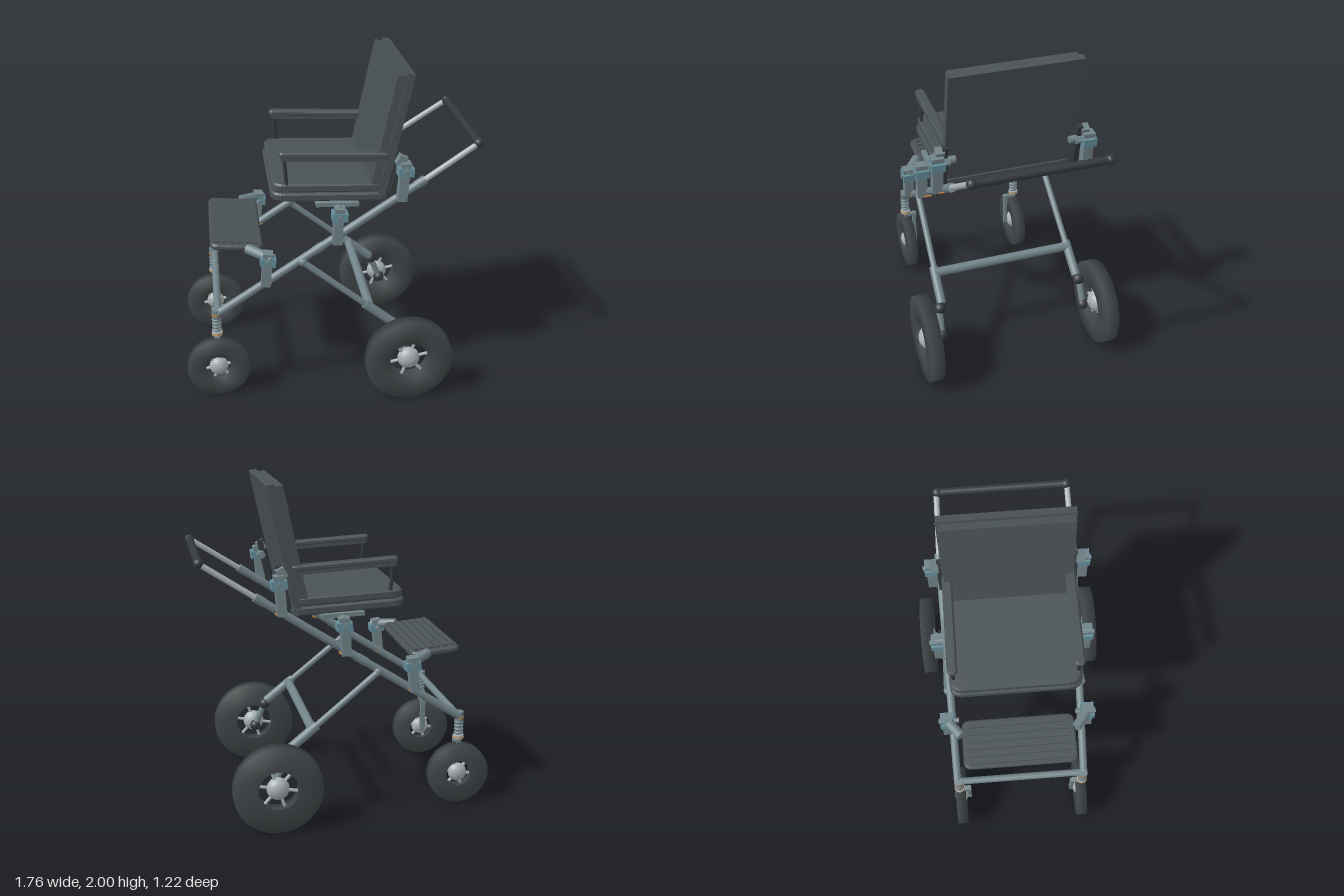
import * as THREE from 'three';

const material = (name, color) => {
  const m = new THREE.MeshStandardMaterial({ color });
  m.name = name;
  return m;
};

export function createModel() {
  const group = new THREE.Group();
  const pad = material('charcoal padding', 0x4a5255);
  const rubber = material('tyre rubber', 0x414749);
  const steel = material('frame grey', 0x72848a);
  const silver = material('light metal', 0xa8b0b3);
  const blue = material('clamp blue', 0x658f9d);
  const orange = material('orange accent', 0xd0802f);
  const grip = material('dark grip', 0x35393b);
  const V = (x, y, z) => new THREE.Vector3(x, y, z);

  const add = (name, geometry, mat, x = 0, y = 0, z = 0, tilt = 0) => {
    const mesh = new THREE.Mesh(geometry, mat);
    mesh.name = name;
    mesh.position.set(x, y, z);
    mesh.rotation.z = tilt;
    group.add(mesh);
    return mesh;
  };
  const box = (name, mat, w, h, d, x, y, z, tilt) =>
    add(name, new THREE.BoxGeometry(w, h, d), mat, x, y, z, tilt);
  const ball = (name, mat, r, x, y, z) =>
    add(name, new THREE.SphereGeometry(r, 20, 14), mat, x, y, z);
  // Round bar between two points
  const bar = (name, mat, a, b, r, r2 = r) => {
    const d = b.clone().sub(a);
    const mesh = add(name, new THREE.CylinderGeometry(r2, r, d.length(), 16), mat);
    mesh.position.copy(a).addScaledVector(d, 0.5);
    mesh.quaternion.setFromUnitVectors(V(0, 1, 0), d.normalize());
    return mesh;
  };
  // Bevelled slab lying flat; front corners (-x) use rf, rear corners rb
  const slab = (name, mat, w, t, d, rf, rb, x, y, z, tilt) => {
    const bevel = 0.01, a = w / 2 - bevel, b = d / 2 - bevel;
    const s = new THREE.Shape();
    s.moveTo(-a + rf, -b);
    s.lineTo(a - rb, -b);
    s.quadraticCurveTo(a, -b, a, -b + rb);
    s.lineTo(a, b - rb);
    s.quadraticCurveTo(a, b, a - rb, b);
    s.lineTo(-a + rf, b);
    s.quadraticCurveTo(-a, b, -a, b - rf);
    s.lineTo(-a, -b + rf);
    s.quadraticCurveTo(-a, -b, -a + rf, -b);
    const g = new THREE.ExtrudeGeometry(s, {
      depth: t - 2 * bevel, bevelSize: bevel, bevelThickness: bevel, bevelSegments: 1, curveSegments: 6,
    });
    g.rotateX(Math.PI / 2).center();
    return add(name, g, mat, x, y, z, tilt);
  };

  // Wheel with a solid tyre, spokes and a domed hub
  const wheel = (name, x, y, z, r, hole, hubR, width) => {
    const h = width / 2;
    const profile = [[hole, -h], [r, -h], [r, h], [hole, h], [hole, -h]]
      .map(([a, b]) => new THREE.Vector2(a, b));
    const tyre = new THREE.LatheGeometry(profile, 48);
    tyre.rotateX(Math.PI / 2);
    add(name + 'Tyre', tyre, rubber, x, y, z).material.side = THREE.DoubleSide;
    const hub = ball(name + 'Hub', silver, hubR, x, y, z);
    hub.scale.z = Math.min(1, (h + 0.012) / hubR);
    for (let i = 0; i < 6; i++) {
      const c = Math.cos(i * Math.PI / 3 + 0.2), s = Math.sin(i * Math.PI / 3 + 0.2);
      bar(name + 'Spoke', silver, V(x + c * hubR * 0.7, y + s * hubR * 0.7, z),
        V(x + c * (hole + 0.01), y + s * (hole + 0.01), z), 0.01);
    }
  };

  // Seat cushion, base and backrest
  slab('seatBase', pad, 0.67, 0.05, 0.78, 0.07, 0.02, -0.01, 1.28, 0, -0.04);
  slab('seatCushion', pad, 0.63, 0.052, 0.76, 0.06, 0.02, -0.02, 1.333, 0, -0.04);
  box('backrestPanel', pad, 0.046, 0.76, 0.775, 0.367, 1.622, 0, -0.205);
  box('backrestCushion', pad, 0.05, 0.69, 0.75, 0.325, 1.648, 0, -0.205);

  // Footrest with raised ribs
  slab('footrest', pad, 0.31, 0.036, 0.69, 0.04, 0.04, -0.55, 0.962, 0, -0.09);
  for (let i = 0; i < 6; i++) {
    const x = -0.665 + i * 0.046;
    box('footrestRib', pad, 0.03, 0.012, 0.62, x, 0.984 - (x + 0.55) * 0.09, 0, -0.09);
  }

  // Cross bars and push handle
  bar('frontCrossBar', steel, V(-0.68, 0.57, -0.41), V(-0.68, 0.57, 0.41), 0.022);
  bar('rearCrossBar', steel, V(0.23, 0.57, -0.44), V(0.23, 0.57, 0.44), 0.028);
  bar('pushHandle', grip, V(0.85, 1.573, -0.38), V(0.85, 1.573, 0.38), 0.024);

  for (const s of [-1, 1]) {
    const railY = x => 0.57 + (x + 0.68) * 0.655;
    const onRail = x => V(x, railY(x), 0.405 * s);

    // Sloping main rail and handle extension
    bar('mainRail', steel, onRail(-0.69), onRail(0.54), 0.024);
    bar('railCollar', steel, onRail(0.49), onRail(0.545), 0.027);
    bar('railJoint', steel, onRail(-0.1), onRail(-0.05), 0.027);
    bar('handleTube', silver, onRail(0.53), V(0.85, 1.573, 0.39 * s), 0.017);
    ball('handleKnob', grip, 0.03, 0.85, 1.573, 0.385 * s);

    // Rear leg, sleeve and trailing arm
    bar('rearLeg', steel, V(-0.17, 0.89, 0.425 * s), V(0.36, 0.46, 0.44 * s), 0.019);
    bar('rearLegSleeve', steel, V(0.2, 0.59, 0.437 * s), V(0.38, 0.445, 0.442 * s), 0.028);
    ball('legPivot', steel, 0.026, -0.17, 0.89, 0.42 * s);
    ball('armPivot', grip, 0.036, 0.39, 0.42, 0.455 * s);
    bar('trailingArm', steel, V(0.39, 0.42, 0.46 * s), V(0.455, 0.265, 0.465 * s), 0.02);
    ball('axleKnuckle', grip, 0.035, 0.455, 0.265, 0.465 * s);
    bar('rearAxle', silver, V(0.455, 0.265, 0.46 * s), V(0.455, 0.265, 0.57 * s), 0.016);
    wheel('rearWheel', 0.455, 0.265, 0.56 * s, 0.265, 0.118, 0.068, 0.08);

    // Front caster: sprung stem, one sided fork and wheel
    bar('casterHead', steel, V(-0.69, 0.535, 0.4 * s), V(-0.69, 0.595, 0.4 * s), 0.027);
    bar('casterStem', steel, V(-0.69, 0.4, 0.4 * s), V(-0.69, 0.56, 0.4 * s), 0.014);
    bar('headRing', orange, V(-0.69, 0.555, 0.4 * s), V(-0.69, 0.563, 0.4 * s), 0.029);
    for (let i = 0; i < 4; i++) {
      const ring = new THREE.TorusGeometry(0.021, 0.009, 8, 18).rotateX(Math.PI / 2);
      add('casterSpring', ring, steel, -0.69, 0.458 + i * 0.023, 0.4 * s);
    }
    bar('casterCollar', silver, V(-0.69, 0.42, 0.4 * s), V(-0.69, 0.445, 0.4 * s), 0.032);
    bar('collarRing', orange, V(-0.69, 0.428, 0.4 * s), V(-0.69, 0.433, 0.4 * s), 0.034);
    box('forkBridge', steel, 0.03, 0.02, 0.085, -0.69, 0.402, 0.368 * s);
    box('forkArm', steel, 0.032, 0.225, 0.022, -0.69, 0.295, 0.341 * s);
    bar('frontAxle', silver, V(-0.69, 0.195, 0.335 * s), V(-0.69, 0.195, 0.435 * s), 0.014);
    wheel('frontWheel', -0.69, 0.195, 0.398 * s, 0.19, 0.078, 0.058, 0.062);

    // Clamps rising from the rail: x, bottom, top, z
    for (const [x, y0, y1, z, lean] of [
      [-0.385, 0.76, 0.92, 0.435, -0.1], [0.032, 1.015, 1.19, 0.45, -0.04], [0.405, 1.27, 1.45, 0.45, -0.07],
    ]) {
      box('clampPost', steel, 0.055, y1 - y0, 0.06, x, (y0 + y1) / 2, z * s, lean);
      box('clampHead', blue, 0.09, 0.05, 0.08, x + 0.01, y1, z * s, lean);
      box('clampCap', steel, 0.06, 0.03, 0.07, x + 0.01, y1 + 0.038, z * s, lean);
      box('clampPin', orange, 0.02, 0.008, 0.05, x + 0.02, y0 + 0.002, (z - 0.03) * s, 0.5);
      bar('clampBolt', steel, V(x + 0.01, y1, (z - 0.075) * s), V(x + 0.01, y1, (z + 0.05) * s), 0.016);
    }

    // Footrest arm, seat bracket and backrest bracket
    bar('footrestArm', steel, V(-0.49, 0.962, 0.35 * s), V(-0.35, 0.937, 0.455 * s), 0.03);
    box('seatBracket', steel, 0.25, 0.025, 0.09, 0.035, 1.243, 0.37 * s, -0.04);
    bar('seatBracketArm', steel, V(0.04, 1.225, 0.35 * s), V(0.04, 1.225, 0.46 * s), 0.022);
    box('backBracket', grip, 0.035, 0.26, 0.03, 0.38, 1.42, 0.4 * s, -0.205);
    box('backBracketTip', steel, 0.05, 0.06, 0.05, 0.395, 1.51, 0.43 * s, -0.5);
    bar('backBracketArm', steel, V(0.4, 1.46, 0.34 * s), V(0.4, 1.46, 0.47 * s), 0.022);

    // Armrest with its front post
    box('armrestBase', pad, 0.6, 0.02, 0.05, 0.02, 1.508, 0.36 * s, -0.05);
    slab('armrestPad', pad, 0.63, 0.036, 0.06, 0.015, 0.01, 0.018, 1.533, 0.36 * s, -0.05);
    bar('armrestPost', grip, V(-0.265, 1.52, 0.36 * s), V(-0.25, 1.32, 0.365 * s), 0.011);
  }
  return group;
}
